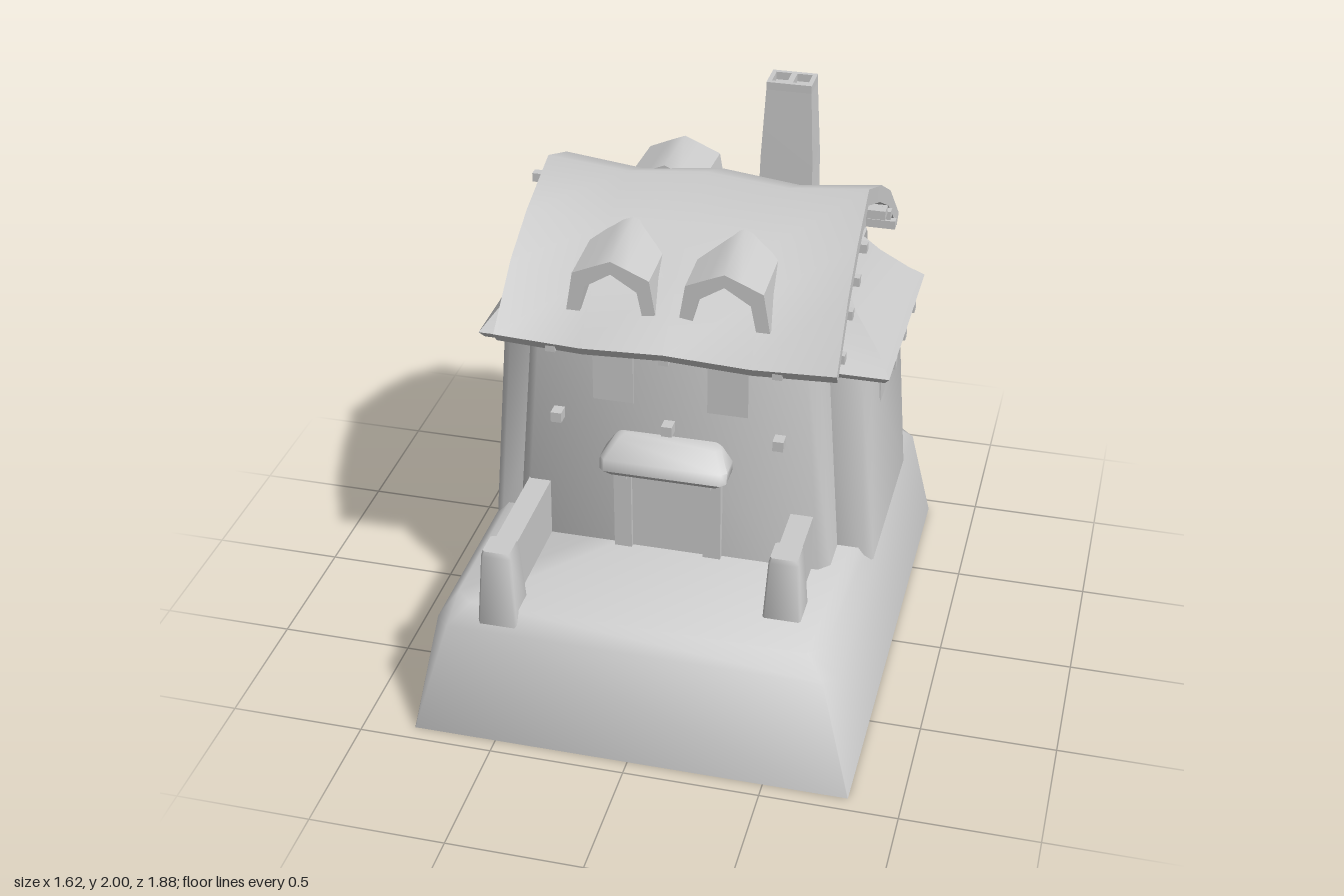
import * as THREE from 'three';
import { toCreasedNormals } from 'three/addons/utils/BufferGeometryUtils.js';

const material = new THREE.MeshStandardMaterial({ color: 0xcccccc, side: THREE.DoubleSide });

// Skin a list of equal-length rings; caps are strips pairing point i with point n-1-i
function loft(rings, capStart = true, capEnd = true, crease = 1.0) {
  const n = rings[0].length;
  const pos = rings.flat(2);
  let idx = [];
  const quad = (a, b, c, d) => idx.push(a, b, c, a, c, d);
  for (let r = 0; r < rings.length - 1; r++) {
    for (let i = 0; i < n; i++) {
      const j = (i + 1) % n;
      quad(r * n + i, r * n + j, (r + 1) * n + j, (r + 1) * n + i);
    }
  }
  const last = (rings.length - 1) * n;
  for (let i = 0; i < n / 2 - 1; i++) {
    if (capStart) quad(n - 1 - i, n - 2 - i, i + 1, i);
    if (capEnd) quad(last + i, last + i + 1, last + n - 2 - i, last + n - 1 - i);
  }
  // Turn the faces outward if the enclosed volume comes out negative
  const center = rings.flat().reduce((s, p) => s.add(new THREE.Vector3(...p)), new THREE.Vector3());
  center.divideScalar(n * rings.length);
  const at = (k) => new THREE.Vector3().fromArray(pos, k * 3).sub(center);
  let volume = 0;
  for (let k = 0; k < idx.length; k += 3) {
    volume += at(idx[k]).dot(at(idx[k + 1]).cross(at(idx[k + 2])));
  }
  if (volume < 0) idx.reverse();
  const g = new THREE.BufferGeometry();
  g.setAttribute('position', new THREE.Float32BufferAttribute(pos, 3));
  g.setIndex(idx);
  return toCreasedNormals(g, crease);
}

// Horizontal rectangle with cut corners
function ring(y, x0, x1, z0, z1, c = 0) {
  if (!c) return [[x0, y, z0], [x1, y, z0], [x1, y, z1], [x0, y, z1]];
  return [
    [x0 + c, y, z0], [x1 - c, y, z0], [x1, y, z0 + c], [x1, y, z1 - c],
    [x1 - c, y, z1], [x0 + c, y, z1], [x0, y, z1 - c], [x0, y, z0 + c],
  ];
}

export function createModel() {
  const model = new THREE.Group();
  const add = (name, geometry, parent = model) => {
    const mesh = new THREE.Mesh(geometry, material);
    mesh.name = name;
    parent.add(mesh);
    return mesh;
  };
  const box = (name, x0, x1, y0, y1, z0, z1) =>
    add(name, new THREE.BoxGeometry(x1 - x0, y1 - y0, z1 - z0))
      .position.set((x0 + x1) / 2, (y0 + y1) / 2, (z0 + z1) / 2);

  // Hollow ground block, open below
  add('base', loft([
    ring(0, -0.81, 0.81, -0.94, 0.94, 0.002),
    ring(0.43, -0.74, 0.74, -0.86, 0.86, 0.05),
    ring(0.505, -0.68, 0.68, -0.8, 0.8, 0.06),
  ], false, true));

  // House walls and gables
  add('walls', loft([
    ring(0.45, -0.6, 0.605, -0.805, 0.303, 0.04),
    ring(1.4, -0.53, 0.525, -0.765, 0.267, 0.04),
  ], false, true));
  const gable = [[0.26, 1.38], [0.25, 1.46], [0.17, 1.53], [-0.01, 1.64], [-0.25, 1.74],
    [-0.25, 1.38]];
  const gableShape = gable.concat(gable.slice(1, 4).reverse().map(([z, y]) => [-0.5 - z, y]), [[-0.76, 1.38]])
    .filter((p, i) => i !== 5);
  add('gables', loft([-0.515, 0.515].map((x) => gableShape.map(([z, y]) => [x, y, z])).map((r) => [...r, [r[0][0], 1.38, -0.25]])));

  // Sagging main roof: a curved slab swept along x
  const half = [[0.65, 1.395], [0.44, 1.59], [0.25, 1.7], [0, 1.8]];
  const under = [[0.0, 1.735], [0.23, 1.64], [0.41, 1.54], [0.62, 1.355]];
  const mirror = (pts) => pts.map(([d, y]) => [-d, y]).reverse();
  const roofProfile = [...half, ...mirror(half).slice(1), ...mirror(under), ...under.slice(1)];
  add('roof', loft([-1, -0.5, 0, 0.5, 1].map((u) => {
    const sag = Math.abs(u) === 0.5 ? 0.03 : 0;
    return roofProfile.map(([d, y]) => [
      u * (0.6 + 0.03 * Math.abs(d)), y - sag, -0.25 + d * (1 - sag * 1.4),
    ]);
  })));

  // Arched dormers, two in front and one behind
  const arch = new THREE.Shape([[-0.165, 1.47], [-0.14, 1.62], [-0.06, 1.655], [0, 1.68],
    [0.06, 1.655], [0.14, 1.62], [0.165, 1.47], [0.115, 1.47], [0.095, 1.57], [0, 1.63],
    [-0.095, 1.57], [-0.115, 1.47]].map((p) => new THREE.Vector2(...p)));
  for (const [x, side] of [[-0.215, 1], [0.195, 1], [-0.215, -1]]) {
    const g = new THREE.ExtrudeGeometry(arch, { depth: 0.32, bevelEnabled: false });
    g.translate(0, 0, 0.22);
    // Ridge climbs slightly toward the roof
    const p = g.attributes.position;
    for (let i = 0; i < p.count; i++) {
      if (p.getZ(i) < 0.3) p.setY(i, p.getY(i) + 0.02);
    }
    const dormer = add('dormer', toCreasedNormals(g, 0.8));
    dormer.position.set(x, 0, -0.25);
    if (side < 0) dormer.rotation.y = Math.PI;
  }

  // Side wings with flared hipped roofs
  for (const s of [1, -1]) {
    const dz = s > 0 ? 0 : 0.025;
    const wing = new THREE.Group();
    wing.name = 'wing';
    wing.position.z = dz;
    model.add(wing);
    const sec = (y, x, z0, z1, c) =>
      ring(y, 0.42, x, z0, z1, c).map(([a, b, d]) => [a * s, b, d]);
    add('wingWalls', loft([
      sec(0.445, 0.735, -0.63, 0.13, 0.03), sec(1.25, 0.685, -0.58, 0.085, 0.03),
    ], false, true), wing);
    add('wingRoof', loft([
      sec(1.225, 0.745, -0.665, 0.115), sec(1.25, 0.763, -0.685, 0.133),
      sec(1.315, 0.71, -0.61, 0.06), sec(1.42, 0.61, -0.525, -0.025),
      sec(1.53, 0.54, -0.435, -0.11),
    ]), wing);
    const out = (name, x0, x1, y0, y1, z0, z1) =>
      s > 0 ? box(name, x0, x1, y0, y1, z0 + dz, z1 + dz) : box(name, -x1, -x0, y0, y1, z0 + dz, z1 + dz);
    for (const z of [-0.04, -0.255, -0.47]) out('wingBeam', 0.62, 0.762, 1.205, 1.24, z - 0.018, z + 0.018);
    for (const z of [-0.15, -0.37]) out('wingWindow', 0.6, 0.701, 1.01, 1.23, z - 0.05, z + 0.05);
  }

  // Chimney climbing the back wall, with a two-flue rim
  add('chimney', loft([
    ring(0.45, 0.04, 0.39, -0.845, -0.62),
    ring(0.86, 0.06, 0.37, -0.832, -0.62),
    ring(0.95, 0.1, 0.335, -0.81, -0.62),
    ring(1.7, 0.118, 0.318, -0.785, -0.64),
    ring(1.97, 0.133, 0.305, -0.771, -0.65),
  ]));
  const rect = (C, x0, x1, y0, y1) => new C([[x0, y0], [x1, y0], [x1, y1], [x0, y1]].map((p) => new THREE.Vector2(...p)));
  const rim = rect(THREE.Shape, 0.133, 0.305, 0.65, 0.771);
  rim.holes.push(rect(THREE.Path, 0.15, 0.208, 0.668, 0.753), rect(THREE.Path, 0.23, 0.288, 0.668, 0.753));
  add('chimneyRim', new THREE.ExtrudeGeometry(rim, { depth: 0.03, bevelEnabled: false })
    .rotateX(-Math.PI / 2)).position.y = 1.97;

  // Beam ends on the front and back walls
  for (const x of [-0.42, -0.005, 0.405]) {
    box('wallPeg', x - 0.02, x + 0.02, 1.015, 1.055, 0.24, 0.33);
    box('wallPeg', x - 0.02, x + 0.02, 1.015, 1.055, -0.84, -0.74);
    box('eaveBeam', x - 0.018, x + 0.018, 1.335, 1.37, 0.2, 0.37);
    box('eaveBeam', x - 0.018, x + 0.018, 1.335, 1.37, -0.88, -0.7);
  }
  // Purlins showing under the gable edges
  for (const [d, y] of [[0, 1.71], [0.148, 1.645], [0.28, 1.58], [0.4, 1.51], [0.53, 1.405]]) {
    for (const z of d ? [-0.25 + d, -0.25 - d] : [-0.25]) {
      const reach = d ? 0.627 : 0.665;
      box('purlin', -reach + (d ? 0.012 : 0.005), reach, y - 0.017, y + 0.017, z - 0.017, z + 0.017);
    }
  }

  // Window panels
  for (const x of [-0.215, 0.21]) box('frontWindow', x - 0.075, x + 0.075, 1.11, 1.35, 0.2, 0.284);
  box('backWindow', -0.285, -0.145, 1.11, 1.35, -0.782, -0.7);
  box('lowerBackWindow', -0.27, -0.16, 0.7, 0.93, -0.797, -0.7);

  // Porch: awning, jambs, brackets
  const awning = (y, w, z) => ring(y, -0.007 - w, -0.007 + w, 0.25, z, 0.02);
  add('awning', loft([
    awning(0.855, 0.215, 0.38), awning(0.88, 0.237, 0.403), awning(0.92, 0.238, 0.39),
    awning(0.975, 0.2, 0.325), awning(0.99, 0.18, 0.295),
  ]));
  for (const x of [-0.175, 0.163]) {
    box('doorJamb', x - 0.033, x + 0.033, 0.45, 0.87, 0.24, 0.325);
    const bx = x * 0.93;
    box('awningBracket', bx - 0.017, bx + 0.017, 0.837, 0.87, 0.25, 0.375);
  }
  box('door', -0.145, 0.132, 0.45, 0.86, 0.24, 0.308);

  // Garden walls ending in tapered posts
  for (const [x, z] of [[-0.503, 0.77], [0.493, 0.565]]) {
    const post = (y, w) => ring(y, x - w, x + w, z - w, z + w, 0.008);
    add('gatePost', loft([post(0.45, 0.073), post(0.735, 0.055), post(0.755, 0.05)], false, true));
    box('gardenWall', x - 0.042, x + 0.042, 0.45, 0.73, 0.25, z - 0.04);
  }
  return model;
}
